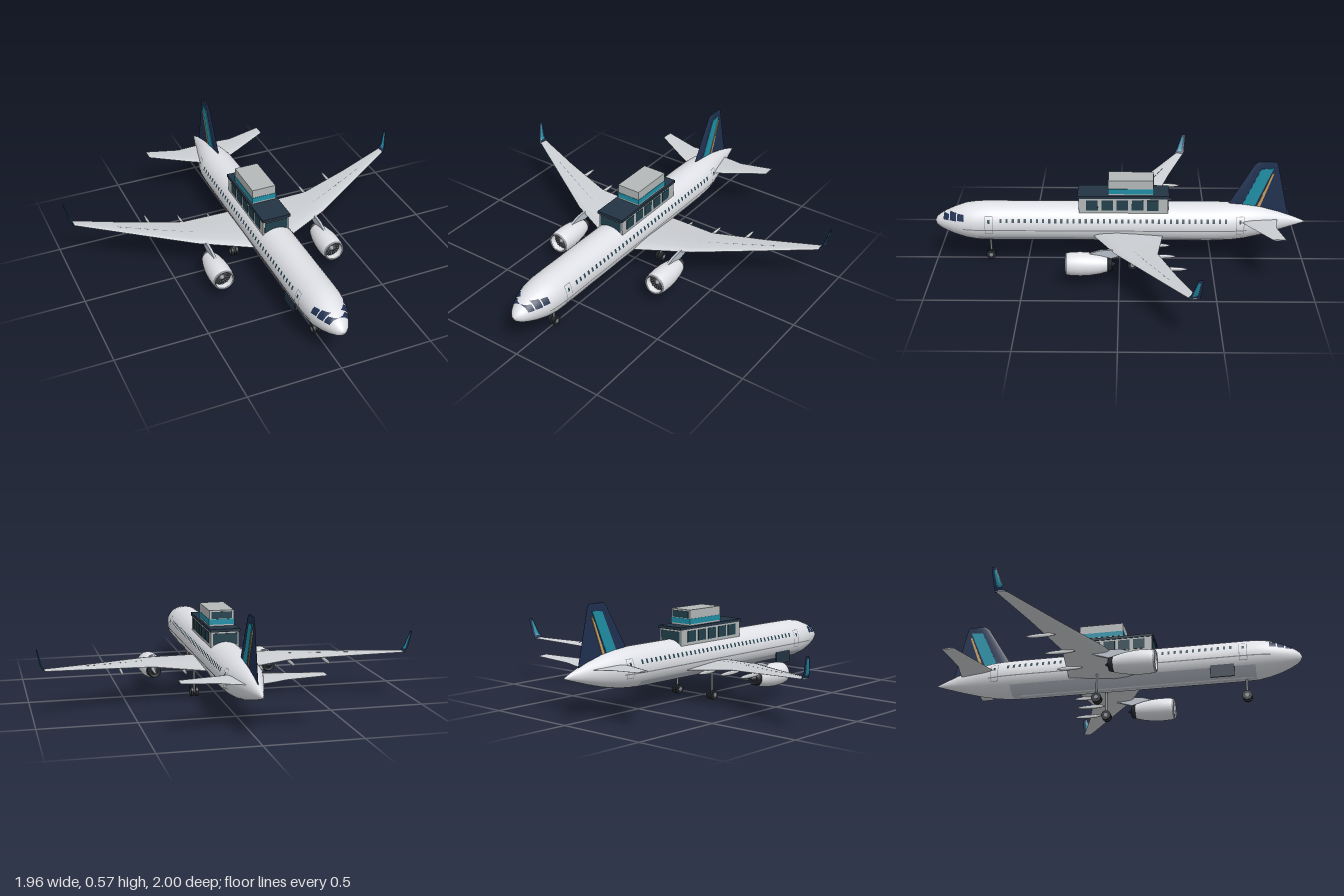
import * as THREE from 'three';
import { toCreasedNormals } from 'three/addons/utils/BufferGeometryUtils.js';

const mat = (color) => new THREE.MeshStandardMaterial({ color, side: THREE.DoubleSide });
const M = {
  white: mat(0xdfe1e6), wing: mat(0xcdd0d4), belly: mat(0xb9c0ca), navy: mat(0x1f3050), teal: mat(0x1f8fa6),
  gold: mat(0xc8a060), glass: mat(0x22404c), dark: mat(0x22262c), metal: mat(0x85898f), wall: mat(0xb4b8b8), roof: mat(0x233444),
};

// Skin a list of closed cross-sections, cap the ends and face outwards
function loft(loops, crease) {
  const n = loops[0].length, pos = loops.flat(2), idx = [];
  for (let i = 0; i < loops.length - 1; i++) for (let j = 0; j < n; j++) {
    const a = i * n + j, b = i * n + (j + 1) % n;
    idx.push(a, b, a + n, b, b + n, a + n);
  }
  const e = (loops.length - 1) * n;
  for (let j = 1; j < n - 1; j++) idx.push(0, j + 1, j, e, e + j, e + j + 1);
  const v = (k) => new THREE.Vector3().fromArray(pos, idx[k] * 3);
  let vol = 0;
  for (let k = 0; k < idx.length; k += 3) vol += v(k).dot(v(k + 1).cross(v(k + 2)));
  if (vol < 0) idx.reverse();
  const g = new THREE.BufferGeometry();
  g.setAttribute('position', new THREE.Float32BufferAttribute(pos, 3));
  g.setIndex(idx);
  g.computeVertexNormals();
  return crease ? toCreasedNormals(g, crease) : g;
}

// Aerofoil surface from sections [x, y, leading z, trailing z, thickness, thickness dir x, dir y]
const FOIL = [[0, 0], [0.04, 0.25], [0.15, 0.42], [0.35, 0.5], [0.7, 0.28], [1, 0.04], [1, -0.04], [0.7, -0.28], [0.35, -0.5], [0.15, -0.42], [0.04, -0.25]];
const foil = (sections, s = 1) => loft(sections.map(([x, y, le, te, t, nx = 0, ny = 1]) =>
  FOIL.map(([c, h]) => [s * (x + h * t * nx), y + h * t * ny, le + (te - le) * c])), 0.7);

// Fuselage stations: z, half width, top, bottom
const BODY = [[1, 0.002, 0.227, 0.223], [0.99, 0.024, 0.247, 0.203], [0.97, 0.041, 0.263, 0.188], [0.94, 0.058, 0.281, 0.172],
  [0.89, 0.08, 0.303, 0.152], [0.83, 0.098, 0.323, 0.134], [0.77, 0.105, 0.332, 0.123], [0.7, 0.106, 0.333, 0.121], [-0.5, 0.106, 0.333, 0.121],
  [-0.6, 0.103, 0.332, 0.125], [-0.67, 0.094, 0.328, 0.134], [-0.75, 0.074, 0.316, 0.15], [-0.85, 0.045, 0.287, 0.177], [-0.95, 0.016, 0.25, 0.208], [-1, 0.002, 0.229, 0.224]];
function station(z) {
  let i = 0;
  while (i < BODY.length - 2 && z < BODY[i + 1][0]) i++;
  const a = BODY[i], b = BODY[i + 1], t = (a[0] - z) / (a[0] - b[0]);
  const [w, top, bot] = [1, 2, 3].map((k) => a[k] + (b[k] - a[k]) * t);
  return { w, cy: (top + bot) / 2, h: (top - bot) / 2 };
}
// Panel lying on the fuselage side s, between two z values and two heights
function panel(s, z0, z1, y0, y1, off = 0.002, nz = 4, ny = 3) {
  const g = new THREE.PlaneGeometry(1, 1, nz, ny), p = g.attributes.position;
  for (let i = 0; i < p.count; i++) {
    const z = z0 + (z1 - z0) * (p.getX(i) + 0.5), y = y0 + (y1 - y0) * (p.getY(i) + 0.5), c = station(z);
    const a = Math.asin(THREE.MathUtils.clamp((y - c.cy) / c.h, -1, 1));
    p.setXYZ(i, s * (c.w + off) * Math.cos(a), c.cy + (c.h + off) * Math.sin(a), z);
  }
  g.computeVertexNormals();
  if (g.attributes.normal.getX(0) * s < 0) g.index.array.reverse(), g.computeVertexNormals();
  return g;
}

export function createModel() {
  const root = new THREE.Group();
  const add = (name, geo, m, x = 0, y = 0, z = 0, parent = root) => {
    const o = new THREE.Mesh(geo, m);
    o.name = name;
    o.position.set(x, y, z);
    parent.add(o);
    return o;
  };
  const box = (name, m, w, h, d, x, y, z) => add(name, new THREE.BoxGeometry(w, h, d), m, x, y, z);
  const slab = (name, m, pts, w) => { // side outline of [z, y] points with thickness w across x
    const g = new THREE.ExtrudeGeometry(new THREE.Shape(pts.map(([z, y]) => new THREE.Vector2(-z, y))), { depth: w, bevelEnabled: false });
    return add(name, g.translate(0, 0, -w / 2).rotateY(Math.PI / 2), m);
  };

  // Fuselage
  add('fuselage', loft(BODY.map(([z]) => {
    const c = station(z);
    return Array.from({ length: 40 }, (_, i) => {
      const a = i / 40 * Math.PI * 2;
      return [c.w * Math.cos(a), c.cy + c.h * Math.sin(a), z];
    });
  })), M.white);

  const wingAt = [[0.03, 0.17, 0.165, -0.235, 0.045], [0.1, 0.176, 0.135, -0.23, 0.042], [0.37, 0.204, 0.02, -0.2, 0.024], [0.66, 0.229, -0.16, -0.285, 0.014], [0.945, 0.256, -0.335, -0.382, 0.008]];
  const wingY = (x) => {
    const i = x < 0.37 ? 1 : x < 0.66 ? 2 : 3, a = wingAt[i], b = wingAt[i + 1], t = (x - a[0]) / (b[0] - a[0]);
    return [a[1] + (b[1] - a[1]) * t, a[4] + (b[4] - a[4]) * t];
  };

  for (const s of [1, -1]) {
    // Cabin windows, doors, stripe, belly paint and cockpit glass
    for (let i = 0; i < 38; i++) {
      const z = 0.635 - i * 0.0325;
      add('cabinWindow', panel(s, z + 0.006, z - 0.006, 0.254, 0.275, 0.002, 1, 2), M.glass);
    }
    for (const z of [0.7, -0.645]) {
      for (const d of [0.02, -0.02]) add('doorEdge', panel(s, z + d + 0.0015, z + d - 0.0015, 0.19, 0.285), M.metal);
      for (const y of [0.19, 0.285]) add('doorEdge', panel(s, z + 0.02, z - 0.02, y - 0.0015, y + 0.0015), M.metal);
      add('doorWindow', panel(s, z + 0.006, z - 0.006, 0.25, 0.268), M.glass);
    }
    add('stripe', panel(s, 0.84, -0.68, 0.208, 0.214, 0.0015, 60, 1), M.metal);
    add('bellyPaint', panel(s, 0.76, -0.56, 0.121, 0.165, 0.001, 30, 8), M.belly);
    for (const [a, b, lo, hi] of [[0.948, 0.918, 0.25, 0.277], [0.912, 0.876, 0.252, 0.289], [0.87, 0.835, 0.255, 0.287]])
      add('cockpitWindow', panel(s, a, b, lo, hi, 0.003), M.navy);

    // Wing with winglet and spoiler lines
    add('wing', foil(wingAt, s), M.wing);
    add('winglet', foil([[0.94, 0.254, -0.325, -0.385, 0.008, 1, 0], [0.958, 0.285, -0.342, -0.388, 0.008, 1, 0], [0.976, 0.368, -0.372, -0.396, 0.005, 1, 0]], s), M.navy);
    add('wingletStripe', foil([[0.95, 0.272, -0.342, -0.378, 0.011, 1, 0], [0.958, 0.285, -0.348, -0.38, 0.011, 1, 0], [0.973, 0.353, -0.372, -0.386, 0.008, 1, 0]], s), M.teal);
    for (let i = 0; i < 14; i++) {
      const at = (x) => {
        const [y, t] = wingY(x);
        return new THREE.Vector3(s * x, y + t * 0.37, x < 0.37 ? -0.015 - (x - 0.1) * 0.24 : -0.08 - (x - 0.37) * 0.47);
      };
      const x = 0.13 + i * 0.044, a = at(x), b = at(x + 0.026);
      const line = box('spoilerLine', M.metal, 0.004, 0.003, a.distanceTo(b), 0, 0, 0);
      line.position.copy(a).lerp(b, 0.5);
      line.lookAt(b);
    }
    // Flap track fairings
    for (const [x, z0, z1] of [[0.205, -0.13, -0.268], [0.37, -0.13, -0.293], [0.545, -0.19, -0.345]]) {
      const pod = add('flapFairing', new THREE.SphereGeometry(1, 12, 8), M.wing, s * x, wingY(x)[0] - 0.012, (z0 + z1) / 2);
      pod.scale.set(0.007, 0.011, (z0 - z1) / 2);
    }

    // Engine
    const engine = new THREE.Group();
    engine.name = 'engine';
    engine.position.set(s * 0.32, 0.122, 0);
    root.add(engine);
    const turn = (name, pts, m) => add(name, new THREE.LatheGeometry(pts.map(([r, z]) => new THREE.Vector2(r, z)), 32).rotateX(Math.PI / 2), m, 0, 0, 0, engine);
    turn('nacelle', [[0.041, 0.06], [0.052, 0.1], [0.06, 0.15], [0.063, 0.2], [0.061, 0.25], [0.057, 0.272], [0.053, 0.278], [0.049, 0.272], [0.048, 0.23]], M.white);
    turn('intakeLip', [[0.0585, 0.268], [0.0575, 0.275], [0.053, 0.28], [0.0485, 0.274]], M.metal);
    turn('fan', [[0.049, 0.24], [0.012, 0.24]], M.dark);
    turn('spinner', [[0.016, 0.24], [0.011, 0.252], [0, 0.262]], M.metal);
    for (let i = 0; i < 18; i++) {
      const blade = add('fanBlade', new THREE.BoxGeometry(0.003, 0.034, 0.003).translate(0, 0.031, 0), M.metal, 0, 0, 0.242, engine);
      blade.rotation.z = i / 18 * Math.PI * 2;
    }
    turn('exhaust', [[0, 0.065], [0.041, 0.06], [0.034, 0.035], [0.026, 0.035], [0.018, 0.04], [0, 0.012]], M.dark);
    const pylon = slab('pylon', M.belly, [[0.18, 0.175], [0.1, 0.2], [0.0, 0.208], [-0.09, 0.198], [-0.02, 0.175], [0.06, 0.15]], 0.014);
    pylon.position.x = s * 0.32;

    // Tailplane
    add('tailplane', foil([[0.02, 0.252, -0.62, -0.85, 0.018], [0.1, 0.257, -0.66, -0.84, 0.015], [0.165, 0.262, -0.692, -0.828, 0.012], [0.355, 0.279, -0.79, -0.858, 0.007]], s), M.wing);
  }

  // Fin with coloured stripes
  add('fin', foil([[0, 0.265, -0.55, -0.908, 0.018, 1, 0], [0, 0.33, -0.585, -0.893, 0.017, 1, 0], [0, 0.55, -0.715, -0.843, 0.012, 1, 0], [0, 0.57, -0.738, -0.835, 0.01, 1, 0]]), M.navy);
  slab('finTealStripe', M.teal, [[-0.655, 0.315], [-0.752, 0.53], [-0.818, 0.535], [-0.725, 0.315]], 0.0175);
  slab('finGoldStripe', M.gold, [[-0.738, 0.315], [-0.812, 0.505], [-0.822, 0.505], [-0.755, 0.315]], 0.0175);

  // Landing gear
  for (const [x, z, top] of [[0, 0.705, 0.14], [0.125, -0.07, 0.18], [-0.125, -0.07, 0.18]]) {
    add('gearStrut', new THREE.CylinderGeometry(0.006, 0.006, top - 0.026, 12), M.metal, x, (top + 0.026) / 2, z);
    add('axle', new THREE.CylinderGeometry(0.004, 0.004, 0.03, 8).rotateZ(Math.PI / 2), M.metal, x, 0.026, z);
    for (const d of [0.013, -0.013]) {
      add('wheel', toCreasedNormals(new THREE.CylinderGeometry(0.026, 0.026, 0.014, 24), 0.6).rotateZ(Math.PI / 2), M.dark, x + d, 0.026, z);
      add('hub', new THREE.CylinderGeometry(0.011, 0.011, 0.016, 12).rotateZ(Math.PI / 2), M.metal, x + d, 0.026, z);
    }
  }

  // Open hold door hanging under the right side
  box('holdDoor', M.roof, 0.006, 0.075, 0.125, -0.09, 0.145, 0.588);

  // Cabin on the roof: lower storey
  box('lowerStorey', M.wall, 0.15, 0.1, 0.475, 0, 0.34, -0.02);
  box('lowerRoof', M.roof, 0.158, 0.015, 0.49, 0, 0.393, -0.02);
  for (const s of [1, -1]) {
    for (let i = 0; i < 5; i++) box('sideWindow', M.glass, 0.004, 0.058, 0.062, s * 0.0755, 0.347, 0.147 - i * 0.081);
    box('endWindow', M.glass, 0.13, 0.06, 0.004, 0, 0.347, -0.02 + s * 0.238);
  }
  // Upper storey
  box('upperStorey', M.wall, 0.132, 0.086, 0.24, 0, 0.441, -0.06);
  box('tealBand', M.teal, 0.136, 0.028, 0.244, 0, 0.423, -0.06);
  box('rearWindow', M.glass, 0.11, 0.036, 0.004, 0, 0.458, -0.181);
  return root;
}
